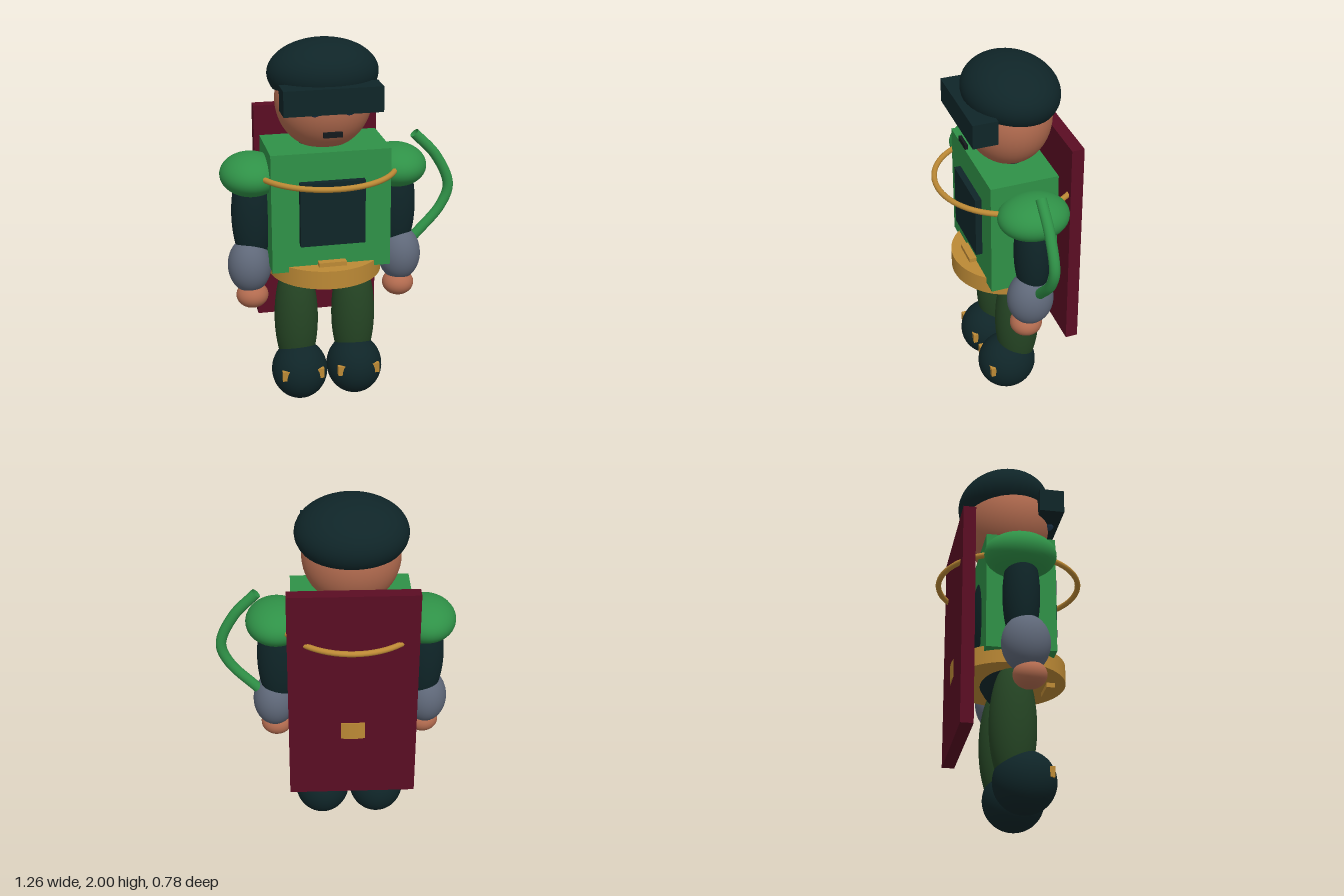
import * as THREE from 'three';

const paint = (name, color, side = THREE.FrontSide) => {
  const m = new THREE.MeshStandardMaterial({ color, side });
  m.name = name;
  return m;
};

export function createModel() {
  const model = new THREE.Group();
  model.name = 'armouredFigure';

  const green = paint('armourGreen', 0x2f9147, THREE.DoubleSide);
  const dark = paint('darkTeal', 0x0f2528, THREE.DoubleSide);
  const skin = paint('skin', 0xb26b4f);
  const gold = paint('gold', 0xbc8935);
  const maroon = paint('maroon', 0x5a0d23);
  const grey = paint('steelGrey', 0x5f6879);
  const olive = paint('trouserGreen', 0x254524);
  const slate = paint('eyeSlate', 0x24405a);
  const black = paint('mouthBlack', 0x14191c);

  const CX = -0.085; // the body's middle, shifted by the hose on one side

  const add = (name, geometry, material, x, y, z) => {
    const mesh = new THREE.Mesh(geometry, material);
    mesh.name = name;
    mesh.position.set(x, y, z);
    model.add(mesh);
    return mesh;
  };
  const ball = (name, mat, x, y, z, rx, ry, rz, arc = Math.PI) => {
    const g = new THREE.SphereGeometry(1, 40, 28, 0, Math.PI * 2, 0, arc);
    const mesh = add(name, g, mat, x, y, z);
    mesh.scale.set(rx, ry, rz);
    return mesh;
  };
  // Box given by its limits on each axis
  const box = (name, mat, x0, x1, y0, y1, z0, z1) =>
    add(name, new THREE.BoxGeometry(x1 - x0, y1 - y0, z1 - z0), mat,
      (x0 + x1) / 2, (y0 + y1) / 2, (z0 + z1) / 2);

  // Head
  ball('head', skin, CX, 1.69, -0.008, 0.255, 0.265, 0.23);
  ball('hair', dark, CX, 1.825, -0.025, 0.29, 0.177, 0.252, Math.PI * 0.64).rotation.x = -0.11;
  box('visor', dark, -0.34, 0.17, 1.675, 1.807, 0.13, 0.263);
  box('mouth', black, -0.135, -0.035, 1.548, 1.575, 0.222, 0.238);

  // Torso
  ball('body', dark, CX, 1.06, -0.005, 0.3, 0.445, 0.2);
  box('breastplate', green, -0.4, 0.23, 0.815, 1.46, -0.17, 0.195);
  box('chestPanel', dark, -0.255, 0.087, 0.965, 1.31, 0.19, 0.23);
  add('belt', new THREE.CylinderGeometry(0.302, 0.302, 0.1, 64), gold, CX, 0.795, -0.002);
  box('beltBuckle', gold, -0.16, -0.012, 0.72, 0.868, 0.19, 0.235);
  const chain = add('neckChain', new THREE.TorusGeometry(0.377, 0.015, 12, 72), gold, CX, 1.323, 0);
  chain.rotation.x = Math.PI / 2;

  // Back board
  box('backBoard', maroon, -0.42, 0.252, 0.39, 1.605, -0.297, -0.23);

  // Paired parts
  for (const [side, s] of [['left', 1], ['right', -1]]) {
    const at = (d) => CX + s * d;
    ball(side + 'Eye', slate, at(0.088), 1.685, 0.215, 0.03, 0.03, 0.025);
    ball(side + 'Shoulder', green, at(0.39), 1.305, -0.006, 0.162, 0.112, 0.187);
    ball(side + 'UpperArm', dark, at(0.388), 1.08, -0.003, 0.11, 0.3, 0.095);
    ball(side + 'Forearm', grey, at(0.411), 0.8, 0.015, 0.116, 0.152, 0.124);
    ball(side + 'Hand', skin, at(0.403), 0.635, 0.035, 0.086, 0.07, 0.086);
    ball(side + 'Leg', olive, at(0.159), 0.46, -0.005, 0.119, 0.35, 0.122);
    ball(side + 'Boot', dark, at(0.154), 0.167, 0.054, 0.153, 0.163, 0.162);
    const bx = at(0.154);
    box(side + 'BootStrap', gold, bx - 0.115, bx + 0.115, 0.165, 0.22, 0.158, 0.184);
  }

  // Hose looping from the shoulder to the forearm
  const path = new THREE.CatmullRomCurve3([
    [0.405, 1.47], [0.526, 1.34], [0.6, 1.17], [0.56, 1.05], [0.415, 0.885],
  ].map(([x, y]) => new THREE.Vector3(x, y, -0.005)));
  add('armHose', new THREE.TubeGeometry(path, 48, 0.028, 14), green, 0, 0, 0);

  return model;
}
